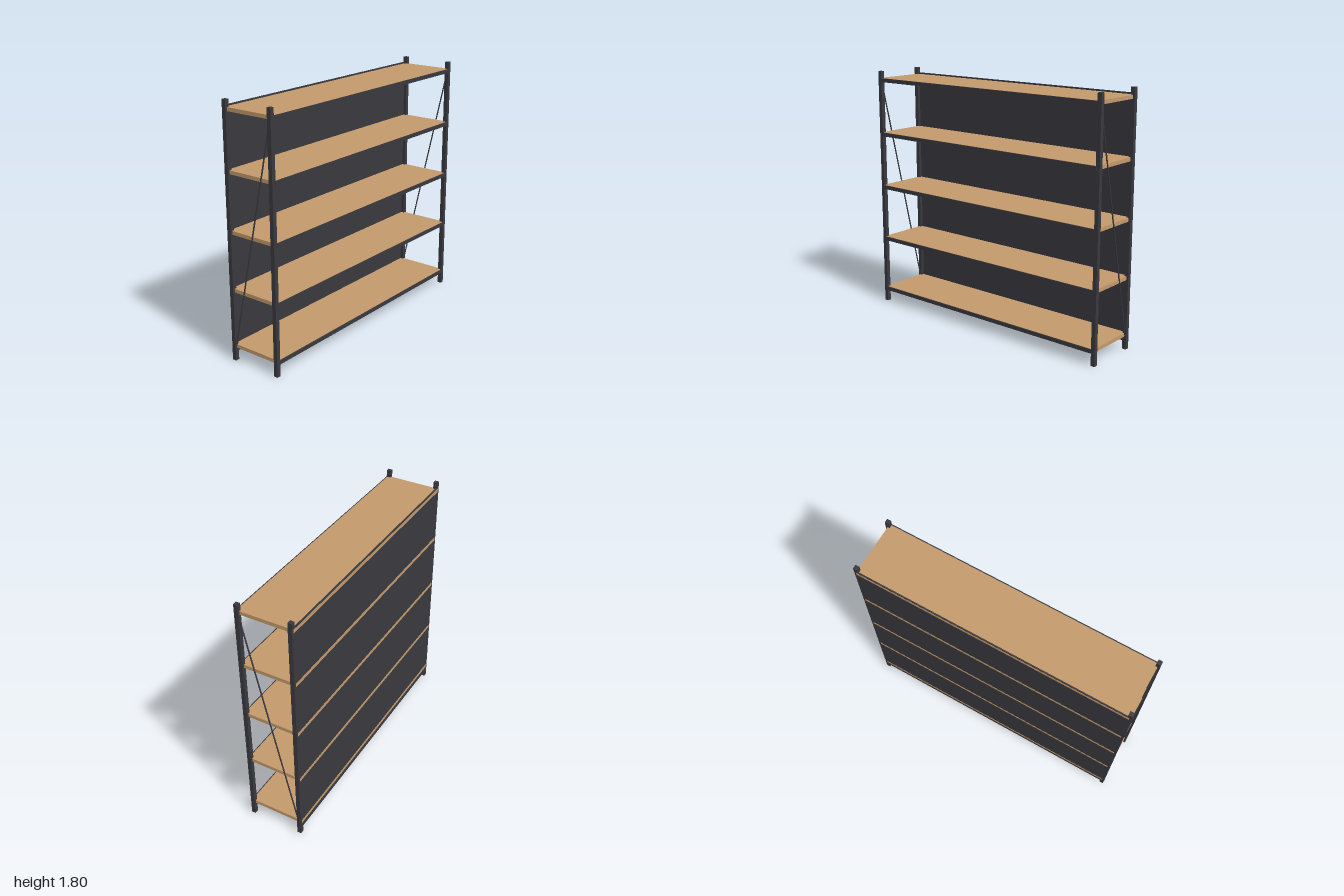
import * as THREE from 'three';

const steel = new THREE.MeshStandardMaterial({ color: 0x3a393f });
steel.name = 'dark steel';
const wood = new THREE.MeshStandardMaterial({ color: 0xc49a6c });
wood.name = 'light wood';

// Box given by its lower and upper corners
function box(name, material, [x0, y0, z0], [x1, y1, z1]) {
  const mesh = new THREE.Mesh(new THREE.BoxGeometry(x1 - x0, y1 - y0, z1 - z0), material);
  mesh.position.set((x0 + x1) / 2, (y0 + y1) / 2, (z0 + z1) / 2);
  mesh.name = name;
  return mesh;
}

// Thin round rod between two points
function rod(name, material, a, b, radius) {
  const dir = b.clone().sub(a);
  const mesh = new THREE.Mesh(new THREE.CylinderGeometry(radius, radius, dir.length(), 8), material);
  mesh.position.copy(a).add(b).multiplyScalar(0.5);
  mesh.quaternion.setFromUnitVectors(new THREE.Vector3(0, 1, 0), dir.normalize());
  mesh.name = name;
  return mesh;
}

export function createModel() {
  const group = new THREE.Group();
  group.name = 'shelvingUnit';

  for (const side of [-1, 1]) {
    const x = side * 0.985;
    // Corner posts
    for (const z of [-0.19, 0.19]) {
      group.add(box('post', steel, [x - 0.015, 0, z - 0.015], [x + 0.015, 1.805, z + 0.015]));
    }
    // Diagonal brace, front top to back bottom
    group.add(rod('sideBrace', steel,
      new THREE.Vector3(side * 0.986, 1.745, 0.19),
      new THREE.Vector3(side * 0.986, 0.055, -0.19), 0.005));
  }

  // Boards with a steel rail along the front; back edges show through the panel
  for (let i = 0; i < 5; i++) {
    const y = 0.104 + i * 0.4093;
    group.add(box('shelf', wood, [-0.985, y - 0.013, -0.206], [0.985, y + 0.013, 0.2]));
    group.add(box('frontRail', steel, [-0.975, y - 0.016, 0.199], [0.975, y + 0.012, 0.208]));
  }

  // Back panel
  group.add(box('backPanel', steel, [-0.985, 0.051, -0.205], [0.985, 1.765, -0.197]));
  return group;
}
